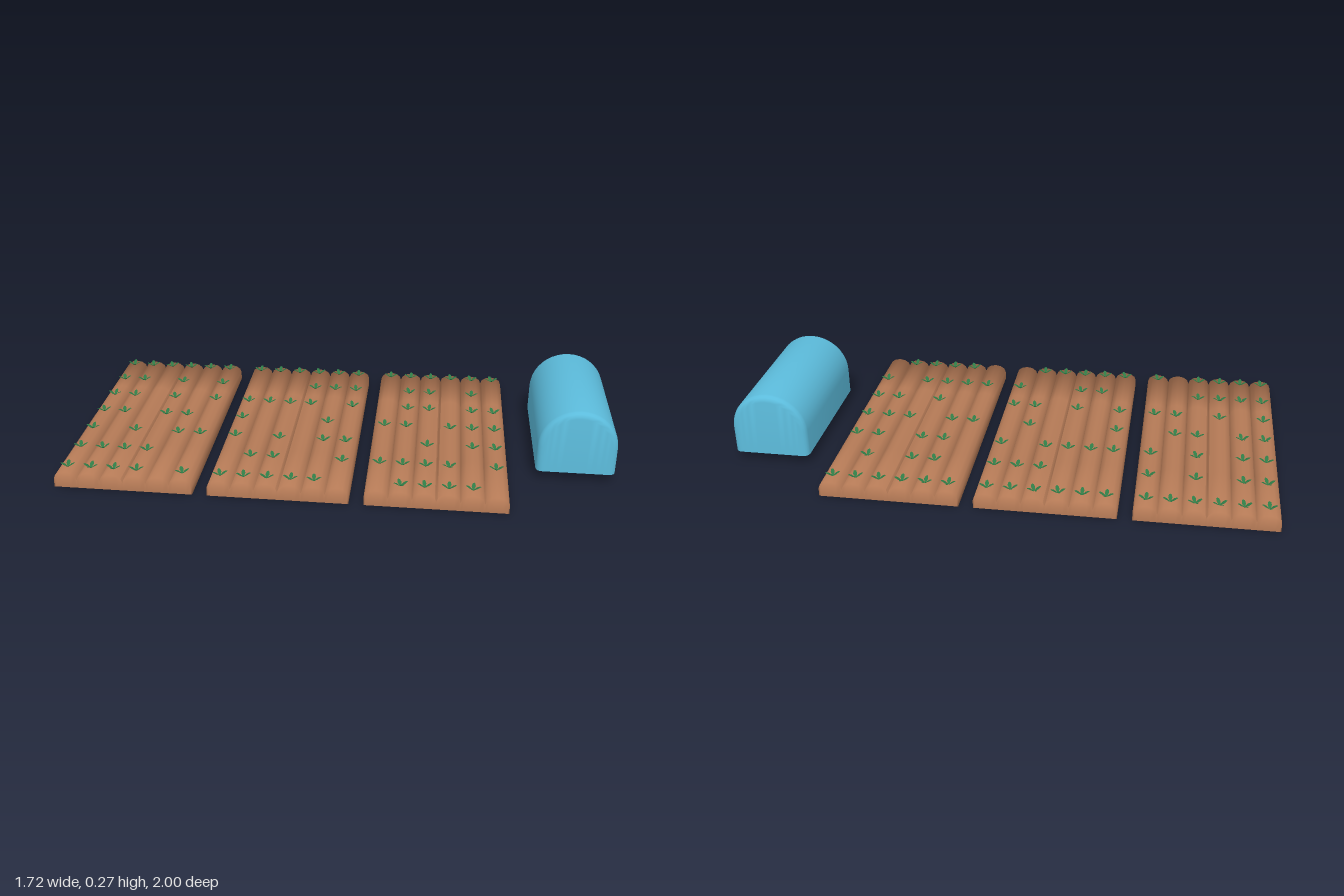
import * as THREE from 'three';
import { mergeGeometries, toCreasedNormals } from 'three/addons/utils/BufferGeometryUtils.js';

const soil = new THREE.MeshStandardMaterial({ color: 0xb57a56, side: THREE.DoubleSide });
const leafGreen = new THREE.MeshStandardMaterial({ color: 0x2f7a45, side: THREE.DoubleSide });
const film = new THREE.MeshStandardMaterial({ color: 0x5cbcdc, side: THREE.DoubleSide });

const BED = { length: 0.967, width: 0.488, rows: 6, cols: 7, pitch: 0.539 };
const RIDGE_TOP = 0.059;
const VALLEY = 0.03;

// Sown plants: one string per ridge, one digit per column
const PLANTING = [
  ['1111111', '1101111', '1110001', '1101111', '0011001', '1010111'],
  ['1011101', '1100101', '1110101', '1000111', '1011011', '0110111'],
  ['0101001', '1101111', '1110111', '1101001', '1011111', '0111101'],
];

// Skin through rings of [x, y, z] points; every ring has the same number of points
function loft(rings, crease = 0.7) {
  const n = rings[0].length;
  const index = [];
  for (let i = 0; i < rings.length - 1; i++) {
    for (let j = 0; j < n - 1; j++) {
      const a = i * n + j, b = a + n;
      index.push(a, b, a + 1, b, b + 1, a + 1);
    }
  }
  const geometry = new THREE.BufferGeometry();
  geometry.setAttribute('position', new THREE.Float32BufferAttribute(rings.flat(2), 3));
  geometry.setIndex(index);
  return toCreasedNormals(geometry, crease);
}

// Solid ridged bed: ridges on top, flat below, softly shaded towards its ends
function bedGeometry() {
  const half = BED.width / 2, r = half / BED.rows, steps = 6;
  const profile = [[0, half]];
  for (let k = 0; k < BED.rows; k++) {
    const centre = half - r * (2 * k + 1);
    for (let s = k ? 1 : 0; s <= steps; s++) {
      const t = (s / steps) * Math.PI;
      profile.push([VALLEY + (RIDGE_TOP - VALLEY) * Math.sin(t), centre + r * Math.cos(t)]);
    }
  }
  profile.push([0, -half], [0, half]);
  const ring = (x, k) => profile.map(([y, z]) => [x, y * k, z]);
  const e = BED.length / 2, inner = e - 0.25;
  return loft([ring(-e, 0), ring(-e, 1), ring(-inner, 1), ring(inner, 1), ring(e, 1), ring(e, 0)], 1.7);
}

// Seedling of four leaves bending up and outward
function seedlingGeometry() {
  const leaves = [];
  for (let k = 0; k < 4; k++) {
    const leaf = loft([
      [[0, 0, 0.002], [0, 0, -0.002]],
      [[0.012, 0.009, 0.007], [0.012, 0.009, -0.007]],
      [[0.021, 0.014, 0.005], [0.021, 0.014, -0.005]],
      [[0.026, 0.015, 0], [0.026, 0.015, 0]],
    ]);
    leaves.push(leaf.rotateY((k * Math.PI) / 2));
  }
  return mergeGeometries(leaves);
}

function plantsGeometry(rows, bedIndex) {
  const seedling = seedlingGeometry();
  const plants = [];
  rows.forEach((row, r) => {
    [...row].forEach((digit, c) => {
      if (digit !== '1') return;
      const turn = 0.15 + 0.25 * Math.sin(r * 5.3 + c * 2.7 + bedIndex);
      const x = (c - (BED.cols - 1) / 2) * 0.147;
      const z = ((r + 0.5) / BED.rows - 0.5) * BED.width;
      plants.push(seedling.clone().rotateY(turn).translate(x, RIDGE_TOP - 0.001, z));
    });
  });
  return mergeGeometries(plants);
}

// Arched tunnel with a flat floor and softly rounded ends
function tunnelGeometry() {
  const base = 0.035, spring = 0.13, radius = 0.137, steps = 20;
  const ring = (x, inset, k = 1) => {
    const r = radius - inset;
    const points = [[x, base, r]];
    for (let s = 0; s <= steps; s++) {
      const t = (s / steps) * Math.PI;
      points.push([x, base + (spring - base + r * Math.sin(t)) * k, r * Math.cos(t)]);
    }
    points.push([x, base, -r], [x, base, r]);
    return points;
  };
  const end = 0.267, bevel = 0.022, corner = [];
  for (let s = 0; s <= 4; s++) {
    const t = (s / 4) * (Math.PI / 2);
    corner.push([end - bevel * (1 - Math.cos(t)), bevel * (1 - Math.sin(t))]);
  }
  return loft([
    ring(-end, bevel, 0),
    ...corner.map(([x, inset]) => ring(-x, inset)),
    ...corner.reverse().map(([x, inset]) => ring(x, inset)),
    ring(end, bevel, 0),
  ]);
}

function addMesh(parent, name, geometry, material) {
  const mesh = new THREE.Mesh(geometry, material);
  mesh.name = name;
  parent.add(mesh);
  return mesh;
}

export function createModel() {
  const model = new THREE.Group();
  model.name = 'gardenField';

  // Whole plot turned on the ground
  const plot = new THREE.Group();
  plot.name = 'plot';
  plot.rotation.y = 0.594;
  plot.position.set(-0.02, 0, -0.083);
  model.add(plot);

  // Three planted beds side by side
  PLANTING.forEach((rows, i) => {
    const bed = new THREE.Group();
    bed.name = 'bed' + (i + 1);
    bed.position.z = (i - 1) * BED.pitch;
    addMesh(bed, 'ridges', bedGeometry(), soil);
    addMesh(bed, 'seedlings', plantsGeometry(rows, i), leafGreen);
    plot.add(bed);
  });

  // Greenhouse tunnel beyond the last bed
  addMesh(plot, 'greenhouse', tunnelGeometry(), film).position.set(0.026, 0, 1.019);
  return model;
}
